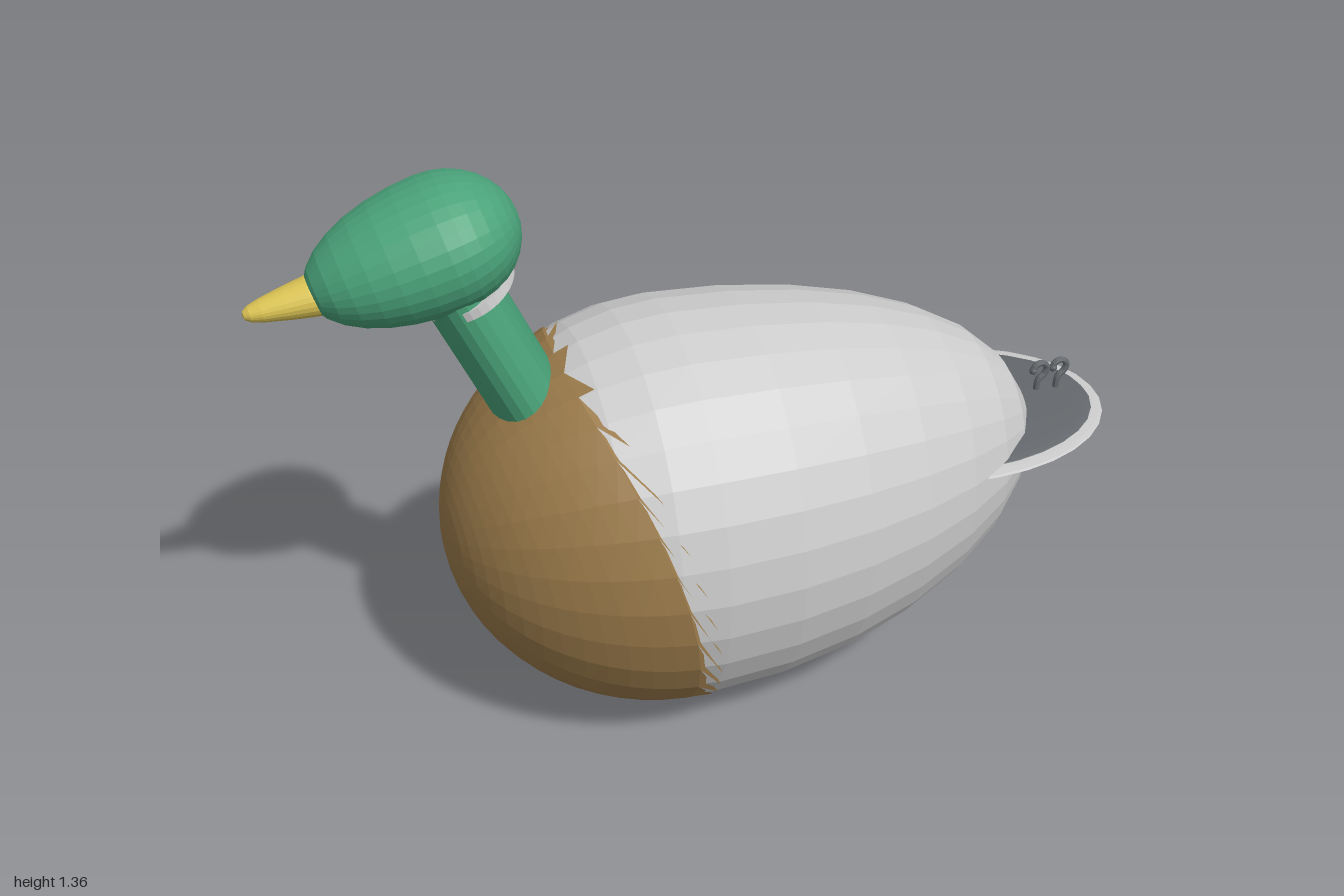
import * as THREE from 'three';

const material = (color) => new THREE.MeshStandardMaterial({ color, flatShading: true });
const GREY = 0xcccccc, GREEN = 0x4aa37a, BROWN = 0x9a7a4a, YELLOW = 0xdcc455, DARK = 0x64686c;

// Egg lying along x: blunt and pointed halves have their own lengths.
// endAngle(phi) limits how far the surface runs from its -x pole.
function egg(front, back, ry, rz, endAngle = () => Math.PI, rings = 16) {
  const geometry = new THREE.SphereGeometry(1, 32, rings).rotateZ(Math.PI / 2);
  const p = geometry.attributes.position;
  for (let i = 0; i < p.count; i++) {
    const phi = Math.atan2(p.getZ(i), p.getY(i));
    const theta = Math.acos(THREE.MathUtils.clamp(-p.getX(i), -1, 1)) * endAngle(phi) / Math.PI;
    const x = -Math.cos(theta), r = Math.sin(theta);
    p.setXYZ(i, x * (x < 0 ? front : back), r * ry * Math.cos(phi), r * rz * Math.sin(phi));
  }
  geometry.computeVertexNormals();
  return geometry;
}

export function createModel() {
  const model = new THREE.Group();
  const add = (name, geometry, color, x, y, z = 0, tilt = 0) => {
    const mesh = new THREE.Mesh(geometry, material(color));
    mesh.name = name;
    mesh.position.set(x, y, z);
    mesh.rotation.z = tilt;
    model.add(mesh);
    return mesh;
  };

  // Body, with the rear end rising slightly
  const bodyX = -0.1, bodyY = 0.486, front = 0.53, height = 0.481, width = 0.455;
  const body = egg(front, 0.9, height, width);
  const bp = body.attributes.position;
  for (let i = 0; i < bp.count; i++) {
    const k = Math.max(0, bp.getX(i) - 0.1) / 0.8;
    bp.setY(i, bp.getY(i) + 0.05 * k * k);
  }
  add('body', body, GREY, bodyX, bodyY);

  // Breast: thin shell over the front, its edge sweeping forward towards the neck
  const breastEnd = (phi) => {
    let theta = Math.PI / 2;
    for (let i = 0; i < 8; i++) {
      const y = bodyY + height * Math.sin(theta) * Math.cos(phi);
      const edge = -0.09 - 0.28 * Math.pow(Math.max(y, 0), 2.3);
      theta = Math.acos((bodyX - edge) / front);
    }
    return theta;
  };
  const breast = add('breast', egg(front, 0.9, height, width, breastEnd), BROWN, bodyX, bodyY);
  breast.scale.setScalar(1.008);
  breast.material.side = THREE.DoubleSide;

  // Neck and collar share the same backward lean
  const lean = 0.43, headZ = -0.008;
  const neck = new THREE.CylinderGeometry(1, 1, 0.46, 24).scale(0.084, 1, 0.128);
  add('neck', neck, GREEN, -0.475, 0.93, headZ, lean);
  const collar = new THREE.CylinderGeometry(1, 1, 0.022, 32).scale(0.105, 1, 0.133);
  add('collar', collar, GREY, -0.535, 1.108, headZ, lean);

  // Head, narrowing towards the beak
  add('head', egg(0.3, 0.168, 0.142, 0.17), GREEN, -0.58, 1.213, headZ, 0.28);

  // Beak: blunt tapering cone
  const beakProfile = [[0.058, 0], [0.052, 0.04], [0.042, 0.09], [0.03, 0.14], [0.021, 0.165], [0.012, 0.177], [0, 0.18]];
  const beak = new THREE.LatheGeometry(beakProfile.map(([r, h]) => new THREE.Vector2(r, h)), 24)
    .scale(0.8, 1, 1).rotateZ(Math.PI / 2);
  add('beak', beak, YELLOW, -0.822, 1.138, headZ, 0.16);

  // Tail: pale flat fan with a darker fan laid on top
  add('tailRim', egg(0.4, 0.4, 0.014, 0.305), GREY, 0.6, 0.57, -0.01);
  add('tailFan', egg(0.375, 0.375, 0.019, 0.272), DARK, 0.6, 0.574, -0.01);

  // Two curled tail feathers
  const curl = new THREE.CatmullRomCurve3(
    [[-0.02, 0.054], [-0.012, 0.068], [0.004, 0.072], [0.018, 0.06], [0.013, 0.042], [-0.002, 0.028], [-0.006, -0.005]]
      .map(([x, y]) => new THREE.Vector3(x, y, 0)));
  for (const x of [0.855, 0.908]) {
    add('tailCurl', new THREE.TubeGeometry(curl, 20, 0.008, 8), DARK, x, 0.587, -0.01);
    add('tailCurlTip', new THREE.SphereGeometry(0.01, 10, 8), DARK, x - 0.018, 0.641, -0.01);
  }
  return model;
}
